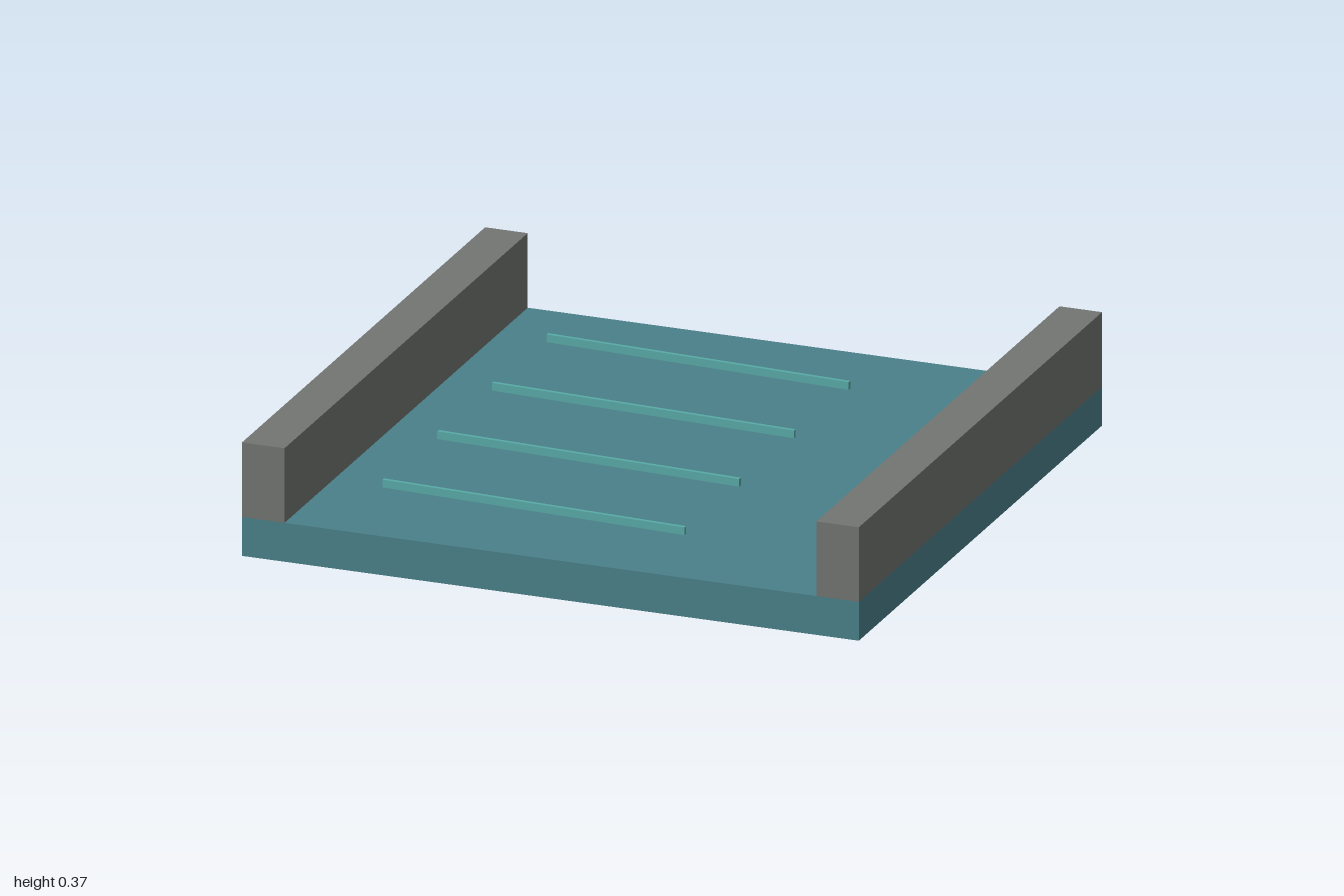
import * as THREE from 'three';

const water = new THREE.MeshStandardMaterial({ name: 'water teal', color: 0x4a808a });
const stone = new THREE.MeshStandardMaterial({ name: 'stone grey', color: 0x737573 });
const foam = new THREE.MeshStandardMaterial({ name: 'ripple aqua', color: 0x58aaa6 });

export function createModel() {
  const model = new THREE.Group();
  model.name = 'canalSection';

  // box standing on height y
  function addBox(name, material, [w, h, d], [x, y, z], turn = 0) {
    const mesh = new THREE.Mesh(new THREE.BoxGeometry(w, h, d), material);
    mesh.name = name;
    mesh.position.set(x, y + h / 2, z);
    mesh.rotation.y = turn;
    model.add(mesh);
  }

  // water slab
  const level = 0.125;
  addBox('waterBed', water, [2, level, 2], [0, 0, 0]);

  // bank walls along both sides
  const wallWidth = 0.138;
  for (const [name, side] of [['leftWall', 1], ['rightWall', -1]]) {
    addBox(name, stone, [wallWidth, 0.24, 2], [side * (1 - wallWidth / 2), level, 0]);
  }

  // slightly slanted ripples on the surface
  for (let i = 0; i < 4; i++) {
    addBox(`ripple${i + 1}`, foam, [1, 0.025, 0.0125], [-0.2, level, -0.725 + i * 0.45], -0.05);
  }

  return model;
}
